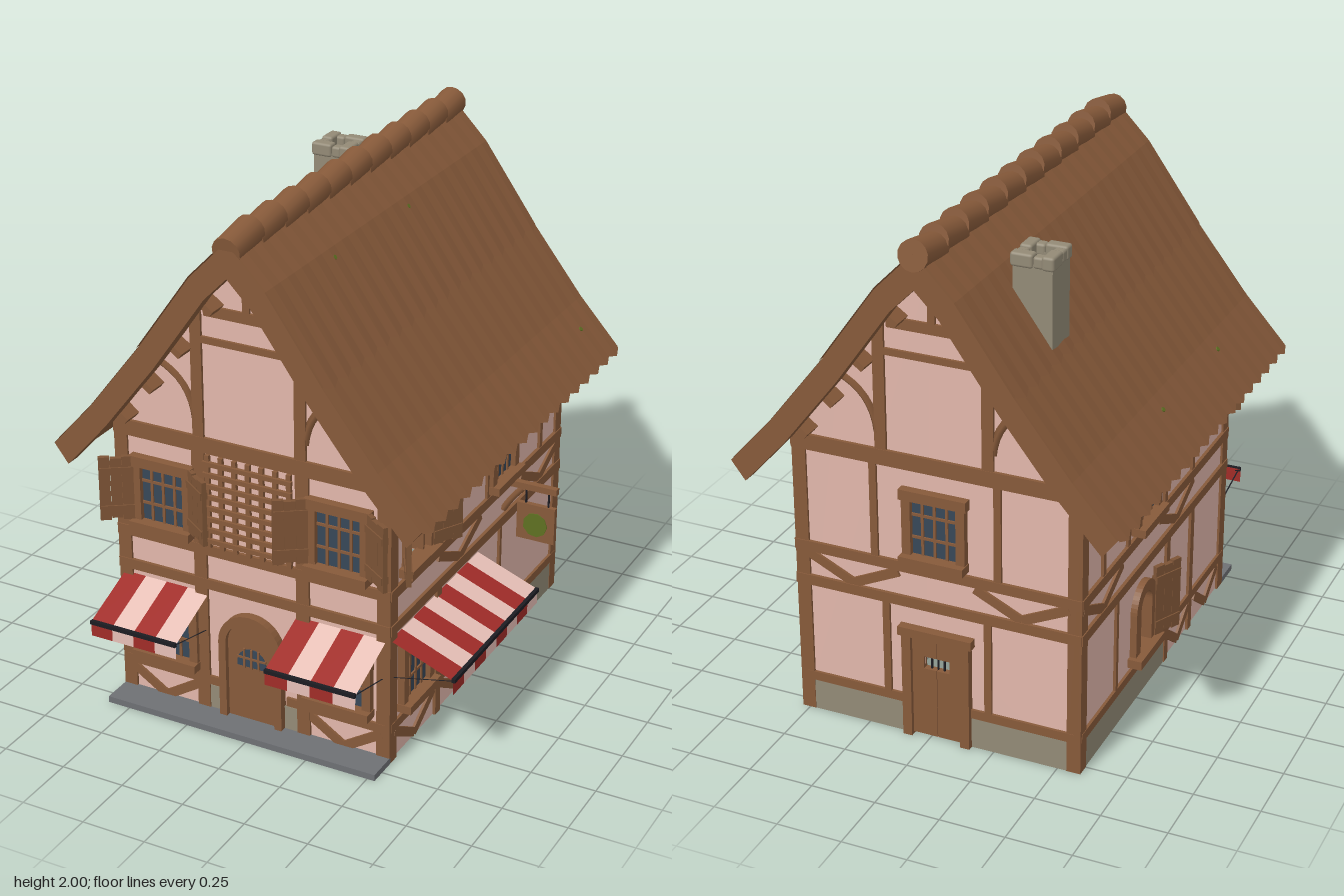
import * as THREE from 'three';
import { RoundedBoxGeometry } from 'three/addons/geometries/RoundedBoxGeometry.js';

const mat = (name, color, side = THREE.FrontSide) => {
  const m = new THREE.MeshStandardMaterial({ color, side });
  m.name = name;
  return m;
};
const wood = mat('brown timber and tile', 0x875a3a, THREE.DoubleSide), dark = mat('shutter wood', 0x7d5436);
const pink = mat('pink plaster', 0xe2b7ab, THREE.DoubleSide), red = mat('red cloth', 0xa02c28, THREE.DoubleSide);
const pale = mat('pale cloth', 0xe9c1b8, THREE.DoubleSide);
const stone = mat('stone', 0x938a76), slate = mat('slate', 0x6e7074);
const glass = mat('glass', 0x374758), iron = mat('black iron', 0x1c1c22, THREE.DoubleSide), green = mat('green paint', 0x5f7022);

const add = (g, name, geo, m) => {
  const mesh = new THREE.Mesh(geo, m);
  mesh.name = name;
  g.add(mesh);
  return mesh;
};
// Box given by its extents
const box = (g, name, m, x0, x1, y0, y1, z0, z1) => {
  const b = add(g, name, new THREE.BoxGeometry(x1 - x0, y1 - y0, z1 - z0), m);
  b.position.set((x0 + x1) / 2, (y0 + y1) / 2, (z0 + z1) / 2);
  return b;
};
const timber = (g, x0, x1, y0, y1, d = 0.012) => box(g, 'timber', wood, x0, x1, y0, y1, 0.001, d);
// V-shaped pair of slanted timbers lying on a wall
const vBrace = (g, u, hw, y0, y1) => {
  for (const s of [-1, 1]) {
    const dy = y1 - y0 - 0.025;
    const b = add(g, 'brace', new THREE.BoxGeometry(Math.hypot(hw, dy), 0.036, 0.01), wood);
    b.position.set(u + s * hw / 2, (y0 + y1) / 2, 0.006);
    b.rotation.z = s * Math.atan2(dy, hw);
  }
};
// Round-headed outline
const arch = (u, y0, y1, hw, C = THREE.Shape) => {
  const s = new C();
  s.moveTo(u - hw, y0); s.lineTo(u + hw, y0); s.lineTo(u + hw, y1 - hw);
  s.absarc(u, y1 - hw, hw, 0, Math.PI, false);
  s.lineTo(u - hw, y0);
  return s;
};
const extrude = (g, name, m, shape, z0, z1) => {
  const e = add(g, name, new THREE.ExtrudeGeometry(shape, { depth: z1 - z0, bevelEnabled: false, curveSegments: 10 }), m);
  e.position.z = z0;
  return e;
};

function windowUnit(parent, u, y0, y1, hw = 0.115) {
  const g = new THREE.Group();
  g.name = 'window';
  g.position.x = u;
  parent.add(g);
  box(g, 'pane', glass, -hw, hw, y0, y1, -0.006, 0.008);
  for (const s of [-1, 1]) box(g, 'window jamb', wood, s * hw - 0.017, s * hw + 0.017, y0, y1, -0.02, 0.028);
  box(g, 'window lintel', wood, -hw - 0.025, hw + 0.025, y1 - 0.03, y1 + 0.01, -0.02, 0.034);
  box(g, 'window sill', wood, -hw - 0.02, hw + 0.02, y0 - 0.012, y0 + 0.02, -0.02, 0.055);
  for (const k of [-0.45, 0, 0.45]) box(g, 'glazing bar', wood, k * hw - 0.005, k * hw + 0.005, y0, y1, -0.012, 0.014);
  for (const k of [1, 2]) {
    const y = y0 + (y1 - y0) * k / 3;
    box(g, 'glazing bar', wood, -hw, hw, y - 0.005, y + 0.005, -0.012, 0.014);
  }
}
// Open shutter of three boards with two battens, hinged at u
function shutter(parent, u, y0, y1, dir, angle = 0.6) {
  const g = new THREE.Group();
  g.name = 'shutter';
  g.position.set(u, 0, 0.022);
  g.rotation.y = -dir * angle;
  parent.add(g);
  for (let i = 0; i < 3; i++) {
    const c = dir * (0.021 + i * 0.042);
    box(g, 'board', dark, c - 0.0205, c + 0.0205, y0 + (i % 2) * 0.008, y1 - (i % 2) * 0.006, -0.009, 0.009);
  }
  for (const y of [y0 + 0.045, y1 - 0.055])
    box(g, 'batten', dark, dir > 0 ? 0 : -0.122, dir > 0 ? 0.122 : 0, y - 0.014, y + 0.014, -0.014, 0.014);
}
// Striped cloth slope with hanging edge, front bar and flat stays
function awning(parent, u0, u1, n, z) {
  const g = new THREE.Group();
  g.name = 'awning';
  parent.add(g);
  const w = (u1 - u0) / n;
  for (let i = 0; i < n; i++) {
    const m = i % 2 ? pale : red, u = u0 + (i + 0.5) * w;
    const top = add(g, 'cloth stripe', new THREE.PlaneGeometry(w, Math.hypot(z, 0.095)), m);
    top.position.set(u, 0.458, z / 2);
    top.rotation.x = -Math.atan2(z, 0.095);
    add(g, 'cloth edge', new THREE.PlaneGeometry(w, 0.06), m).position.set(u, 0.382, z);
  }
  box(g, 'awning bar', iron, u0, u1, 0.402, 0.417, z - 0.007, z + 0.007);
  for (const u of [u0 + 0.01, u1 - 0.01]) {
    const stay = add(g, 'awning stay', new THREE.PlaneGeometry(0.006, Math.hypot(z, 0.055)), iron);
    stay.position.set(u, 0.377, z / 2);
    stay.rotation.x = Math.atan2(z, 0.055);
  }
}
function archWindow(g, u, y0, y1, hw, inner) {
  const ring = arch(u, y0, y1, hw);
  ring.holes.push(arch(u, y0 + 0.015, y1 - hw + inner, inner, THREE.Path));
  extrude(g, 'arched window frame', wood, ring, -0.02, 0.026);
  box(g, 'window sill', wood, u - hw - 0.02, u + hw + 0.02, y0 - 0.015, y0 + 0.02, -0.015, 0.055);
}

// Roof half-profile, measured from the ridge line
const profile = [[0, 1.95], [0.146, 1.8], [0.36, 1.498], [0.57, 1.23], [0.734, 1.048]];
function roofShape(dx, dy) {
  const inner = profile.map(([x, y], i) => i ? [x - dx, y - dy] : [0, y - dy * 1.8]);
  const half = [...profile.slice(1), ...inner.slice(1).reverse()];
  const pts = [profile[0], ...half, inner[0], ...half.map(([x, y]) => [-x, y]).reverse()];
  return new THREE.Shape(pts.map(p => new THREE.Vector2(...p)));
}
// Group lying on the slope at distance x from the ridge, local y pointing out of the roof
function onRoof(roof, name, s, x, z) {
  const i = profile.findIndex(p => p[0] > x), [x0, y0] = profile[i - 1], [x1, y1] = profile[i];
  const g = new THREE.Group();
  g.name = name;
  g.position.set(s * x, y0 + (y1 - y0) * (x - x0) / (x1 - x0), z);
  g.rotation.z = s * Math.atan2(y1 - y0, x1 - x0);
  roof.add(g);
  return g;
}
// Course of tiles with a scalloped lower edge
function tileSheet(pts, lift) {
  const n = 36, geo = new THREE.PlaneGeometry(1, 1, n, pts.length - 1), p = geo.attributes.position;
  for (let i = 0; i < p.count; i++) {
    const k = i % (n + 1), row = Math.floor(i / (n + 1)), odd = k % 2, last = row === pts.length - 1;
    const up = lift + odd * 0.002, out = last ? 0.006 + odd * 0.02 : 0;
    p.setXYZ(i, pts[row][0] + up * 0.8 + out * 0.65, pts[row][1] + up * 0.6 - out * 0.75, 0.815 - 1.735 * k / n);
  }
  const flat = geo.toNonIndexed();
  flat.computeVertexNormals();
  return flat;
}
function buildRoof() {
  const g = new THREE.Group();
  g.name = 'roof';
  g.position.x = -0.03;
  extrude(g, 'roof slab', wood, roofShape(0.045, 0.06), -0.915, 0.81);
  for (const z of [0.757, -0.926]) extrude(g, 'bargeboard', wood, roofShape(0.055, 0.072), z, z + 0.06);
  for (const s of [-1, 1]) {
    add(g, 'upper tiles', tileSheet(profile.slice(0, 3), 0.005), wood).scale.x = s;
    add(g, 'lower tiles', tileSheet(profile.slice(2), 0.002), wood).scale.x = s;
    // Purlin ends under both overhangs
    for (const x of [0.2, 0.33, 0.45, 0.56]) for (const z of [0.72, -0.828])
      box(onRoof(g, 'purlin', s, x, z), 'purlin end', wood, -0.012, 0.012, -0.125, -0.03, -0.04, 0.04);
  }
  // Small moss patches
  for (const [s, x, z] of [[1, 0.167, 0.37], [1, 0.167, -0.2], [1, 0.635, -0.77], [-1, 0.61, -0.2], [-1, 0.61, 0.37]])
    add(onRoof(g, 'moss', s, x, z), 'moss patch', new THREE.CylinderGeometry(0.009, 0.01, 0.016, 7), green);
  for (let i = 0; i < 11; i++) {
    const t = add(g, 'ridge tile', new THREE.CylinderGeometry(0.054, 0.056, 0.168, 14), wood);
    t.position.set(0, 1.929, 0.733 - i * 0.1577);
    t.rotation.x = Math.PI / 2 + 0.17;
  }
  return g;
}
function buildChimney() {
  const g = new THREE.Group();
  g.name = 'chimney';
  g.position.set(-0.305, 0, -0.51);
  const square = (C, r) => new C([[-1, -1], [1, -1], [1, 1], [-1, 1]].map(([x, y]) => new THREE.Vector2(x * r, y * r)));
  const sq = square(THREE.Shape, 0.074);
  sq.holes.push(square(THREE.Path, 0.038));
  const shaft = extrude(g, 'chimney shaft', stone, sq, 0, 0.49);
  shaft.rotation.x = -Math.PI / 2;
  shaft.position.y = 1.34;
  box(g, 'flue', wood, -0.04, 0.04, 1.4, 1.74, -0.04, 0.04);
  // Ring of cap stones
  for (let i = 0; i < 4; i++) {
    const side = new THREE.Group();
    side.name = 'cap stones';
    side.rotation.y = i * Math.PI / 2;
    g.add(side);
    add(side, 'cap stone', new RoundedBoxGeometry(0.084, 0.052, 0.046, 2, 0.01), stone).position.set(-0.04, 1.84, 0.058);
    add(side, 'cap stone', new RoundedBoxGeometry(0.04, 0.044, 0.042, 2, 0.01), stone).position.set(0.022, 1.838, 0.058);
  }
  return g;
}

// Wall panel with local x along the wall and local z outward
function wall(root, name, x, z, ry, hw, gable, hole) {
  const g = new THREE.Group();
  g.name = name;
  g.position.set(x, 0, z);
  g.rotation.y = ry;
  root.add(g);
  const top = gable ? [[0.55, 1.185], [0.36, 1.44], [0.146, 1.74], [0, 1.88], [-0.146, 1.74], [-0.36, 1.44], [-0.55, 1.185]]
    : [[hw, 1.18], [-hw, 1.18]];
  const s = new THREE.Shape([[-hw, 0], [hw, 0], ...top].map(p => new THREE.Vector2(...p)));
  if (hole) s.holes.push(arch(...hole, THREE.Path));
  add(g, 'plaster', new THREE.ShapeGeometry(s, 10), pink);
  for (const e of [-1, 1]) timber(g, e * (hw - 0.017) - 0.027, e * (hw - 0.017) + 0.027, 0, 1.15, 0.01);
  for (const [y0, y1] of [[0.53, 0.57], [0.67, 0.71], [1.08, 1.14]]) timber(g, -hw - 0.01, hw + 0.01, y0, y1, 0.014);
  return g;
}
function gableFrame(g) {
  for (const s of [-1, 1]) {
    timber(g, s * 0.205 - 0.022, s * 0.205 + 0.022, 1.14, 1.62);
    const c = new THREE.QuadraticBezierCurve3(new THREE.Vector3(s * 0.22, 1.2, 0), new THREE.Vector3(s * 0.235, 1.35, 0), new THREE.Vector3(s * 0.37, 1.4, 0));
    add(g, 'curved brace', new THREE.TubeGeometry(c, 8, 0.015, 4), wood);
  }
  timber(g, -0.19, 0.19, 1.505, 1.53);
  timber(g, -0.17, 0.17, 1.61, 1.65);
  timber(g, -0.014, 0.014, 1.65, 1.87);
}

export function createModel() {
  const root = new THREE.Group();
  root.name = 'timber framed house';
  root.add(buildRoof(), buildChimney());
  box(root, 'front step', slate, -0.59, 0.53, 0, 0.025, 0.685, 0.81);

  // Front
  const f = wall(root, 'front wall', -0.03, 0.683, 0, 0.55, true);
  gableFrame(f);
  for (const s of [-1, 1]) {
    timber(f, s * 0.21 - 0.026, s * 0.21 + 0.026, 0, 1.08);
    timber(f, s * 0.34 - 0.2, s * 0.34 + 0.2, 0.125, 0.16);
    vBrace(f, s * 0.375, 0.15, 0.01, 0.13);
    box(f, 'stone plinth', stone, s * 0.155 - 0.03, s * 0.155 + 0.03, 0, 0.12, 0.001, 0.008);
    windowUnit(f, s * 0.358, 0.19, 0.48);
    windowUnit(f, s * 0.358, 0.735, 1.0, 0.105);
    for (const d of [-1, 1]) shutter(f, s * 0.358 + d * 0.118, 0.755, 1.008, d);
  }
  awning(f, -0.545, -0.185, 4, 0.237);
  awning(f, 0.18, 0.54, 4, 0.237);
  const frame = arch(0, 0, 0.468, 0.13);
  frame.holes.push(arch(0, 0.001, 0.436, 0.1, THREE.Path));
  extrude(f, 'door frame', wood, frame, -0.02, 0.035);
  extrude(f, 'front door', wood, arch(0, 0.01, 0.44, 0.103), -0.012, 0.015);
  extrude(f, 'door window', glass, arch(0, 0.25, 0.325, 0.06), -0.016, 0.019);
  for (const x of [-0.03, 0, 0.03]) box(f, 'door bar', wood, x - 0.004, x + 0.004, 0.245, 0.325, -0.02, 0.023);
  box(f, 'door bar', wood, -0.06, 0.06, 0.283, 0.291, -0.02, 0.023);
  // Lattice screen
  for (let i = 0; i < 7; i++) box(f, 'lattice', wood, -0.174 + i * 0.055, -0.156 + i * 0.055, 0.71, 1.08, 0.012, 0.026);
  for (let i = 0; i < 8; i++) box(f, 'lattice', wood, -0.18, 0.18, 0.733 + i * 0.044, 0.75 + i * 0.044, 0.02, 0.034);

  // Right side
  const r = wall(root, 'right wall', 0.52, -0.055, Math.PI / 2, 0.735, false, [-0.545, 0.755, 0.98, 0.09]);
  timber(r, -0.735, 0.735, 0.125, 0.16);
  timber(r, -0.375, -0.335, 0, 0.53);
  timber(r, 0.175, 0.192, 0.16, 0.53);
  for (const u of [-0.185, 0.06, 0.305, 0.545]) timber(r, u - 0.012, u + 0.012, 0.71, 1.08);
  for (const u of [-0.545, -0.175, 0.175]) vBrace(r, u, 0.16, 0.01, 0.13);
  for (const u of [-0.18, 0.545]) vBrace(r, u, 0.18, 0.565, 0.675);
  box(r, 'stone plinth', stone, 0.365, 0.715, 0, 0.125, 0.001, 0.008);
  windowUnit(r, -0.545, 0.19, 0.48, 0.105);
  windowUnit(r, -0.175, 0.19, 0.48, 0.105);
  windowUnit(r, 0.18, 0.735, 1.0, 0.1);
  // Arched opening with inner arch and spokes
  archWindow(r, -0.545, 0.74, 0.992, 0.1, 0.085);
  const innerArch = arch(-0.545, 0.75, 0.95, 0.058);
  innerArch.holes.push(arch(-0.545, 0.751, 0.938, 0.046, THREE.Path));
  extrude(r, 'inner arch', wood, innerArch, -0.01, 0.012);
  for (const s of [-1, 1]) for (const [x, y, a] of [[0.072, 0.82, 0], [0.072, 0.89, 0], [0.05, 0.942, 0.8]]) {
    const b = box(r, 'spoke', wood, -0.02, 0.02, -0.005, 0.005, -0.008, 0.01);
    b.position.set(-0.545 + s * x, y, 0);
    b.rotation.z = s * a;
  }
  for (const d of [-1, 1]) shutter(r, -0.545 + d * 0.1, 0.755, 1.008, d, 0.5);
  awning(r, -0.73, 0, 8, 0.247);

  // Hanging sign
  const sign = new THREE.Group();
  sign.name = 'hanging sign';
  sign.position.x = 0.215;
  r.add(sign);
  box(sign, 'sign arm', wood, -0.013, 0.013, 0.7, 0.725, 0, 0.225);
  const bend = new THREE.QuadraticBezierCurve3(new THREE.Vector3(0, 0.59, 0.005), new THREE.Vector3(0, 0.64, 0.03), new THREE.Vector3(0, 0.7, 0.085));
  add(sign, 'sign bracket', new THREE.TubeGeometry(bend, 8, 0.014, 6), wood);
  box(sign, 'sign board', wood, -0.01, 0.01, 0.49, 0.64, 0.065, 0.22);
  const disc = add(sign, 'sign disc', new THREE.CylinderGeometry(0.05, 0.05, 0.028, 9), green);
  disc.rotation.z = Math.PI / 2;
  disc.position.set(0, 0.558, 0.142);
  for (const z of [0.098, 0.19]) box(sign, 'sign hanger', iron, -0.003, 0.003, 0.63, 0.705, z - 0.003, z + 0.003);

  // Left side
  const l = wall(root, 'left wall', -0.58, -0.055, -Math.PI / 2, 0.735, false, [-0.155, 0.21, 0.44, 0.055]);
  timber(l, -0.735, 0.735, 0.125, 0.16);
  for (const u of [0.1, 0.36]) timber(l, u - 0.018, u + 0.018, 0, 0.53);
  timber(l, -0.42, -0.4, 0.16, 0.53);
  for (const u of [-0.545, -0.31, 0.06, 0.35]) timber(l, u - 0.012, u + 0.012, 0.71, 1.08);
  for (const u of [0.23, 0.545]) vBrace(l, u, 0.13, 0.01, 0.13);
  for (const u of [-0.545, 0.18]) vBrace(l, u, 0.18, 0.565, 0.675);
  box(l, 'stone plinth', stone, -0.715, 0.08, 0, 0.125, 0.001, 0.008);
  archWindow(l, -0.155, 0.19, 0.485, 0.1, 0.055);
  shutter(l, -0.07, 0.21, 0.5, 1, 0.45);
  windowUnit(l, -0.145, 0.735, 1.0, 0.1);

  // Back, with a barred opening in the door
  const b = wall(root, 'back wall', -0.03, -0.79, Math.PI, 0.55, true, [0, 0.27, 0.4, 0.05]);
  gableFrame(b);
  for (const s of [-1, 1]) {
    timber(b, s * 0.33 - 0.205, s * 0.33 + 0.205, 0.125, 0.16);
    timber(b, s * 0.2 - 0.014, s * 0.2 + 0.014, 0.16, 0.53);
    timber(b, s * 0.24 - 0.014, s * 0.24 + 0.014, 0.71, 1.08);
    vBrace(b, s * 0.33, 0.18, 0.565, 0.675);
    box(b, 'stone plinth', stone, s * 0.32 - 0.2, s * 0.32 + 0.2, 0, 0.125, 0.001, 0.008);
    box(b, 'door jamb', wood, s * 0.115 - 0.018, s * 0.115 + 0.018, 0, 0.43, -0.012, 0.03);
    box(b, 'door plank', wood, s * 0.075 - 0.024, s * 0.075 + 0.024, 0.01, 0.425, -0.012, 0.014);
    for (const [y0, y1] of [[0.01, 0.29], [0.34, 0.425]])
      box(b, 'door plank', wood, s * 0.026 - 0.025, s * 0.026 + 0.025, y0, y1, -0.012, 0.014);
  }
  windowUnit(b, 0, 0.735, 1.0, 0.105);
  box(b, 'door lintel', wood, -0.145, 0.145, 0.42, 0.455, -0.012, 0.036);
  for (const x of [-0.025, 0, 0.025]) box(b, 'door bar', iron, x - 0.003, x + 0.003, 0.285, 0.345, -0.003, 0.003);
  return root;
}
